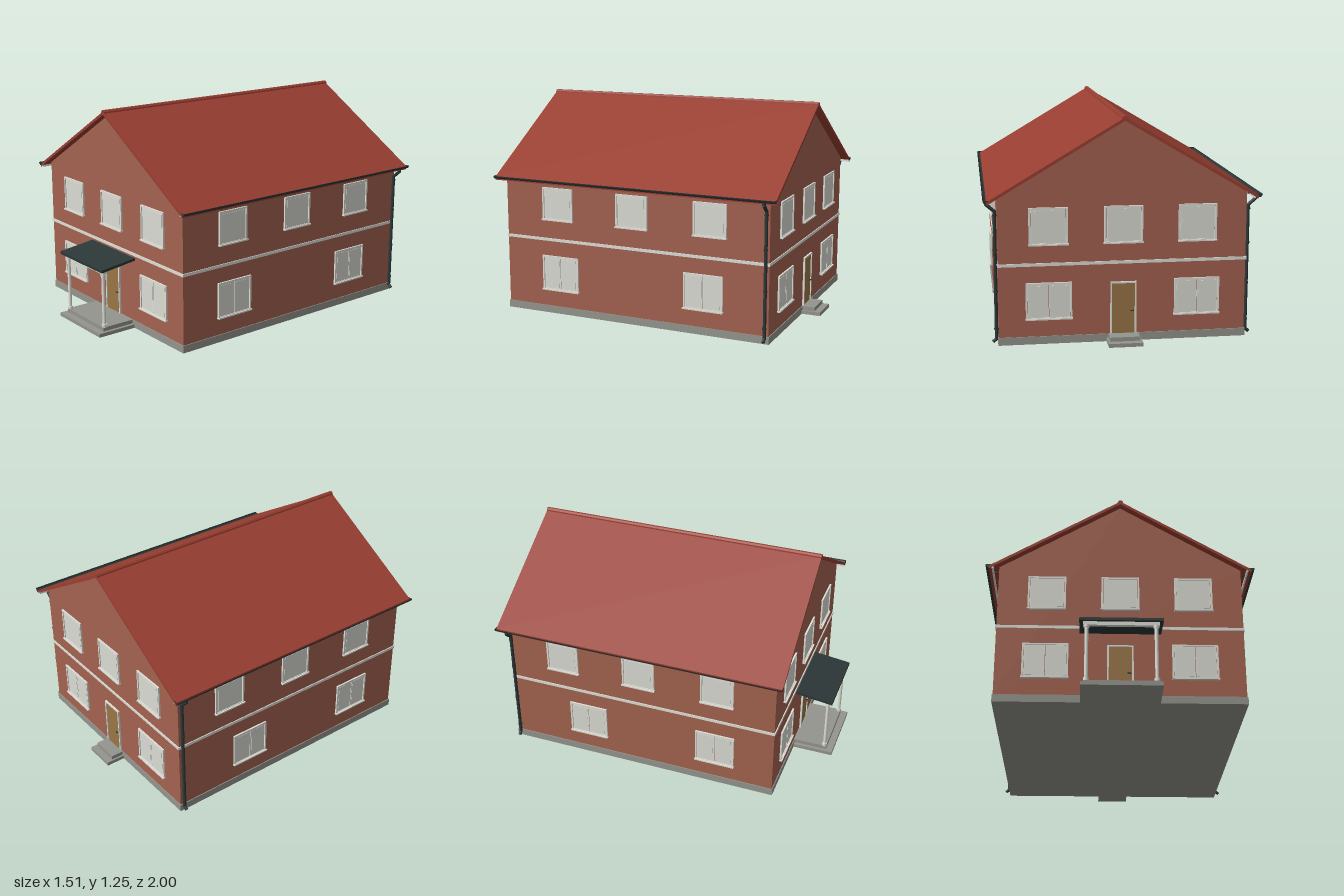
import * as THREE from 'three';

const mat = (name, color, side = THREE.FrontSide) => {
  const m = new THREE.MeshStandardMaterial({ color, side });
  m.name = name;
  return m;
};

export function createModel() {
  const house = new THREE.Group();
  house.name = 'house';
  const brick = mat('brick red', 0xa3624f);
  const tile = mat('roof red', 0x993e31);
  const trim = mat('off white trim', 0xdfdfd7);
  const pane = mat('pale pane', 0xdbdcd4);
  const stone = mat('grey stone', 0x95958e);
  const metal = mat('dark metal', 0x2c3737, THREE.DoubleSide);
  const wood = mat('door wood', 0x997545);

  const add = (parent, name, geo, m, x = 0, y = 0, z = 0) => {
    const mesh = new THREE.Mesh(geo, m);
    mesh.name = name;
    mesh.position.set(x, y, z);
    parent.add(mesh);
    return mesh;
  };
  const box = (parent, name, m, w, h, d, x, y, z) =>
    add(parent, name, new THREE.BoxGeometry(w, h, d), m, x, y, z);
  const extrude = (points, z0, z1) => {
    const shape = new THREE.Shape(points.map(p => new THREE.Vector2(...p)));
    const geo = new THREE.ExtrudeGeometry(shape, { depth: z1 - z0, bevelEnabled: false });
    return geo.translate(0, 0, z0);
  };

  // Overall sizes
  const W = 0.68, FRONT = 0.757, BACK = -0.883, MID = (FRONT + BACK) / 2, LEN = FRONT - BACK;
  const RIDGE = 1.24, EAVE = 0.735, SLOPE = 0.593, THICK = 0.018;
  const roofY = x => RIDGE - SLOPE * Math.abs(x);

  // Walls with gables, plinth and string course
  const top = x => roofY(x) - THICK + 0.001;
  add(house, 'walls', extrude([[-W, 0.04], [W, 0.04], [W, top(W)], [0, top(0)], [-W, top(W)]], BACK, FRONT), brick);
  box(house, 'plinth', stone, 2 * W + 0.01, 0.043, LEN + 0.01, 0, 0.0215, MID);
  box(house, 'stringCourse', trim, 2 * W + 0.01, 0.017, LEN + 0.01, 0, 0.446, MID);

  // Roof slopes and ridge cap
  const RF = 0.802, RB = -0.93, RM = (RF + RB) / 2, RL = RF - RB;
  add(house, 'roof', extrude([
    [-EAVE, roofY(EAVE) - THICK], [0, RIDGE - THICK], [EAVE, roofY(EAVE) - THICK],
    [EAVE, roofY(EAVE)], [0, RIDGE], [-EAVE, roofY(EAVE)],
  ], RB, RF), tile);
  add(house, 'ridgeCap', extrude([
    [-0.016, RIDGE - 0.013], [0.016, RIDGE - 0.013], [0.014, RIDGE - 0.001], [0.006, RIDGE + 0.008],
    [-0.006, RIDGE + 0.008], [-0.014, RIDGE - 0.001],
  ], RB - 0.001, RF + 0.001), tile);

  // Eaves: fascia, gutter, brackets and downpipe on both sides
  for (const s of [1, -1]) {
    const eaves = new THREE.Group();
    eaves.name = s > 0 ? 'leftEaves' : 'rightEaves';
    house.add(eaves);
    box(eaves, 'fascia', trim, 0.01, 0.022, RL - 0.004, s * 0.714, 0.8, RM);

    const half = new THREE.CylinderGeometry(0.018, 0.018, RL, 12, 1, true, -Math.PI / 2, Math.PI);
    half.rotateX(Math.PI / 2).rotateZ(0);
    half.computeBoundingBox();
    if (half.boundingBox.max.y > 0.01) half.rotateZ(Math.PI);
    add(eaves, 'gutter', half, metal, s * 0.737, 0.812, RM);
    for (const z of [RF, RB]) {
      const cap = new THREE.CircleGeometry(0.018, 12, Math.PI, Math.PI);
      add(eaves, 'gutterEnd', cap, metal, s * 0.737, 0.812, z);
    }
    for (let i = 0; i < 9; i++)
      box(eaves, 'gutterBracket', metal, 0.05, 0.006, 0.008, s * 0.705, 0.803, RB + 0.08 + i * (RL - 0.16) / 8);

    const PZ = -0.865;
    const path = new THREE.CurvePath();
    const pts = [[0.737, 0.797], [0.737, 0.78], [0.693, 0.742], [0.693, 0.034], [0.71, 0.02]]
      .map(([x, y]) => new THREE.Vector3(s * x, y, PZ));
    for (let i = 0; i < pts.length - 1; i++) {
      const dir = pts[i + 1].clone().sub(pts[i]);
      const pipe = add(eaves, 'downpipe', new THREE.CylinderGeometry(0.0095, 0.0095, dir.length() + 0.006, 12), metal);
      pipe.position.copy(pts[i]).addScaledVector(dir, 0.5);
      pipe.quaternion.setFromUnitVectors(new THREE.Vector3(0, 1, 0), dir.normalize());
    }
    for (const y of [0.09, 0.3, 0.53, 0.72])
      add(eaves, 'pipeClip', new THREE.CylinderGeometry(0.0125, 0.0125, 0.008, 12), metal, s * 0.693, y, PZ);
  }

  // Window facing +z, origin at its centre on the wall
  const makeWindow = (w, h, panes) => {
    const g = new THREE.Group();
    g.name = panes > 1 ? 'doubleWindow' : 'singleWindow';
    const t = 0.01;
    for (const s of [1, -1]) {
      box(g, 'frameSide', trim, t, h, 0.012, s * (w - t) / 2, 0, 0.004);
      box(g, 'frameRail', trim, w - 2 * t, t, 0.012, 0, s * (h - t) / 2, 0.004);
    }
    const pw = (w - 2 * t) / panes;
    for (let i = 0; i < panes; i++) {
      const x = (i - (panes - 1) / 2) * pw;
      box(g, 'sash', trim, pw - 0.003, h - 2 * t, 0.004, x, 0, 0.003);
      box(g, 'pane', pane, pw - 0.018, h - 2 * t - 0.015, 0.002, x, 0, 0.0055);
    }
    box(g, 'sill', trim, w + 0.006, 0.008, 0.02, 0, -h / 2 + 0.003, 0.008);
    return g;
  };
  const place = (obj, x, y, z, turn) => {
    obj.position.set(x, y, z);
    obj.rotation.y = turn;
    house.add(obj);
  };

  // Gable windows, front and back
  for (const [z, turn] of [[FRONT, 0], [BACK, Math.PI]]) {
    for (const x of [-0.408, 0, 0.408]) place(makeWindow(0.212, 0.206, 1), x, 0.656, z, turn);
    for (const x of [-0.408, 0.408]) place(makeWindow(0.252, 0.206, 2), x, 0.242, z, turn);
  }
  // Side windows
  for (const s of [1, -1]) {
    for (const z of [0.415, -0.062, -0.538]) place(makeWindow(0.197, 0.194, 1), s * W, 0.66, z, s * Math.PI / 2);
    for (const z of s > 0 ? [0.402, -0.5] : [0.405, -0.39])
      place(makeWindow(0.236, 0.208, 2), s * W, 0.245, z, s * Math.PI / 2);
  }

  // Doors
  const makeDoor = name => {
    const g = new THREE.Group();
    g.name = name;
    for (const s of [1, -1]) box(g, 'doorJamb', trim, 0.009, 0.294, 0.014, s * 0.0675, 0.19, 0.004);
    box(g, 'doorHead', trim, 0.126, 0.009, 0.014, 0, 0.3325, 0.004);
    box(g, 'doorLeaf', wood, 0.126, 0.285, 0.008, 0, 0.1855, 0.001);
    box(g, 'handle', metal, 0.02, 0.005, 0.005, 0.048, 0.172, 0.012);
    box(g, 'handleStem', metal, 0.005, 0.005, 0.01, 0.055, 0.172, 0.007);
    return g;
  };
  place(makeDoor('frontDoor'), 0, 0, FRONT, 0);
  place(makeDoor('backDoor'), 0, 0, BACK, Math.PI);

  // Entrance steps
  const step = (name, w, h, z0, z1) => box(house, name, stone, w, h, z1 - z0, 0, h / 2, (z0 + z1) / 2);
  step('frontLowerStep', 0.43, 0.021, FRONT - 0.01, 1);
  step('frontUpperStep', 0.39, 0.044, FRONT - 0.01, 0.96);
  step('backLowerStep', 0.188, 0.021, -1, BACK + 0.01);
  step('backUpperStep', 0.165, 0.044, -0.962, BACK + 0.01);

  // Porch: sloping canopy, beam and round posts
  const porch = new THREE.Group();
  porch.name = 'porch';
  house.add(porch);
  const canopy = extrude([[-0.98, 0.381], [-FRONT, 0.41], [-FRONT, 0.425], [-0.98, 0.397]], -0.224, 0.224);
  canopy.rotateY(Math.PI / 2);
  add(porch, 'canopy', canopy, metal);
  box(porch, 'beam', trim, 0.406, 0.022, 0.022, 0, 0.374, 0.948);
  for (const s of [1, -1]) {
    add(porch, 'post', new THREE.CylinderGeometry(0.01, 0.01, 0.32, 16), trim, s * 0.185, 0.204, 0.948);
    for (const [y, h] of [[0.052, 0.018], [0.358, 0.014]])
      add(porch, 'postCollar', new THREE.CylinderGeometry(0.015, 0.015, h, 16), trim, s * 0.185, y, 0.948);
  }
  return house;
}
